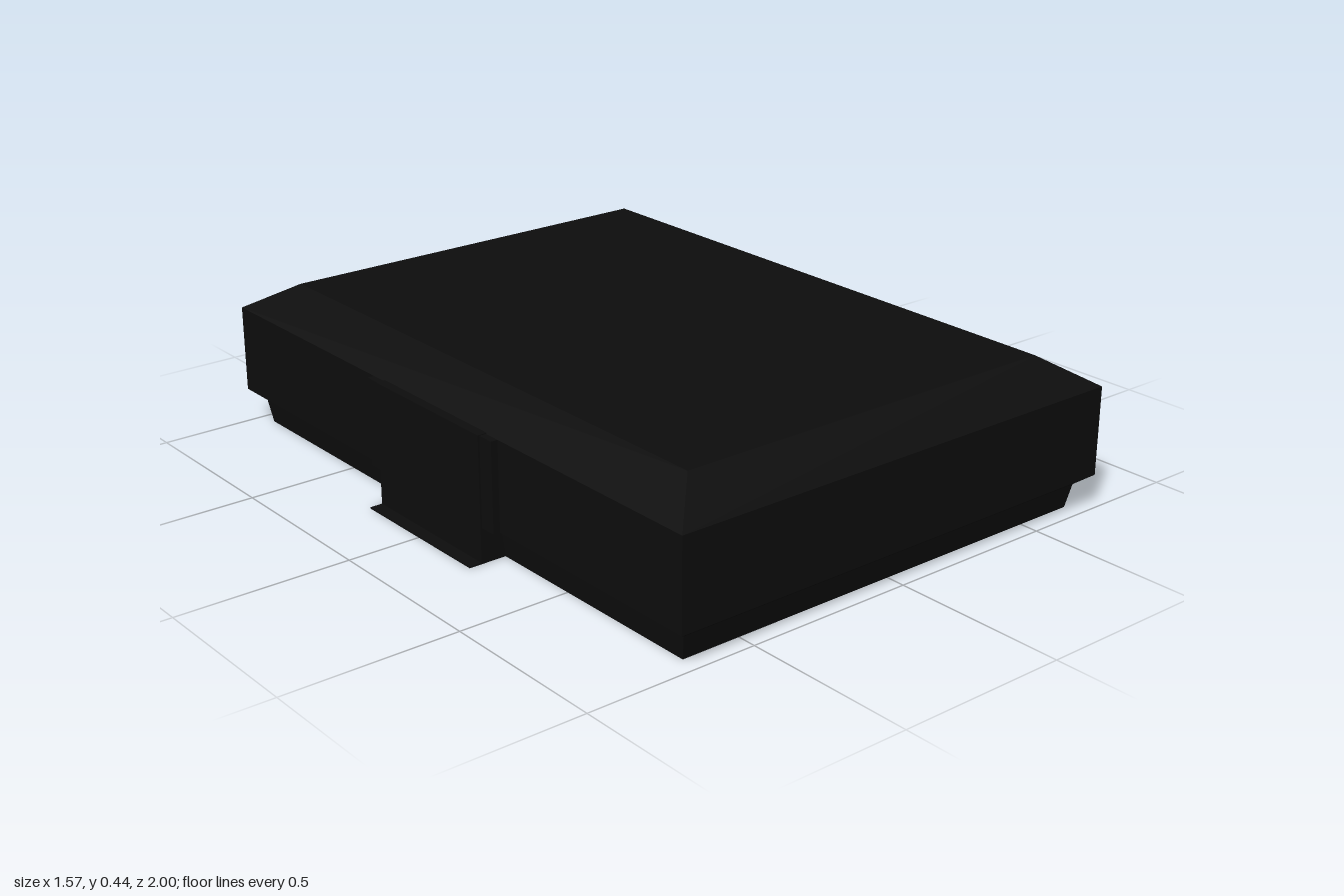
import * as THREE from 'three';

const material = new THREE.MeshStandardMaterial({ color: 0x0d0d0d, flatShading: true });

// Solid lofted through rectangles [halfX, y, halfZ], listed bottom to top
function loft(rings) {
  const pos = [], index = [];
  for (const [x, y, z] of rings) pos.push(-x, y, z, x, y, z, x, y, -z, -x, y, -z);
  for (let r = 0; r < rings.length - 1; r++) {
    for (let i = 0; i < 4; i++) {
      const a = r * 4 + i, b = r * 4 + (i + 1) % 4;
      index.push(a, b, b + 4, a, b + 4, a + 4);
    }
  }
  const t = (rings.length - 1) * 4;
  index.push(0, 2, 1, 0, 3, 2, t, t + 1, t + 2, t, t + 2, t + 3);
  const g = new THREE.BufferGeometry();
  g.setAttribute('position', new THREE.Float32BufferAttribute(pos, 3));
  g.setIndex(index);
  const flat = g.toNonIndexed();
  flat.computeVertexNormals();
  return flat;
}

function addMesh(parent, name, geometry) {
  const mesh = new THREE.Mesh(geometry, material);
  mesh.name = name;
  parent.add(mesh);
  return mesh;
}

// Box given by its x and y limits and its half depth
function slab(x0, x1, y0, y1, halfZ) {
  return new THREE.BoxGeometry(x1 - x0, y1 - y0, halfZ * 2)
    .translate((x0 + x1) / 2, (y0 + y1) / 2, 0);
}

// Side clip: wide flange, narrower block, thin lip at the foot
function sideClip(name, side, z) {
  const clip = new THREE.Group();
  clip.name = name;
  addMesh(clip, 'clipFlange', slab(0.66, 0.745, 0.1, 0.355, 0.285));
  addMesh(clip, 'clipBlock', slab(0.66, 0.75, 0, 0.357, 0.235));
  addMesh(clip, 'clipLip', slab(0.66, 0.787, 0, 0.004, 0.235));
  if (side < 0) clip.rotation.y = Math.PI;
  clip.position.z = z;
  return clip;
}

export function createModel() {
  const model = new THREE.Group();
  model.name = 'case';

  // Inset foot
  addMesh(model, 'base', loft([[0.675, 0, 0.945], [0.685, 0.07, 0.96], [0.725, 0.1, 1]]));

  // Main shell with bevelled lid
  addMesh(model, 'shell', loft([[0.725, 0.1, 1], [0.725, 0.355, 1], [0.6, 0.435, 0.87]]));

  // Clips, offset along the two sides
  model.add(sideClip('leftClip', 1, -0.475), sideClip('rightClip', -1, 0));
  return model;
}
